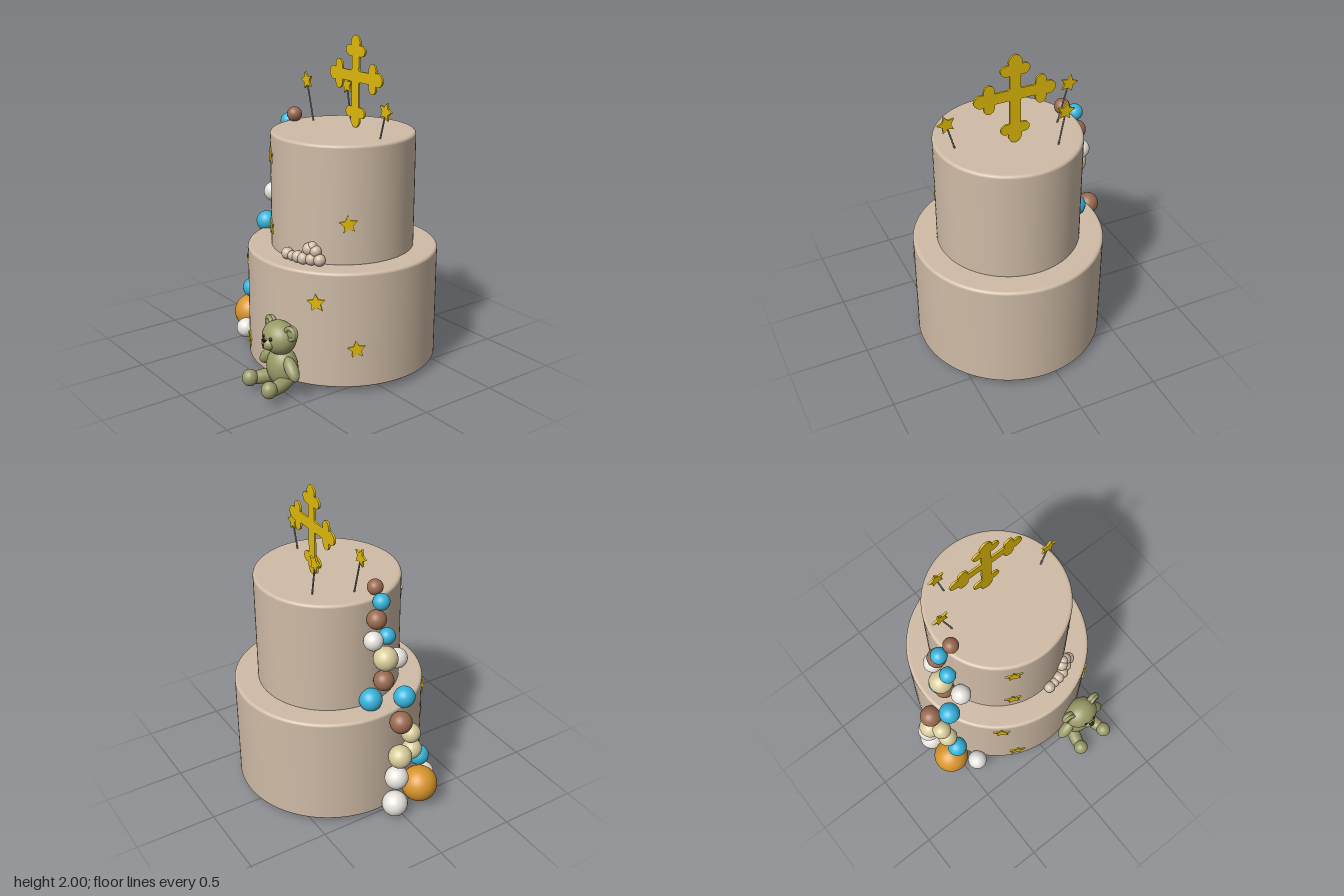
import * as THREE from 'three';

const V = (x, y, z) => new THREE.Vector3(x, y, z);
const mat = (color) => new THREE.MeshStandardMaterial({ color });
const M = {
  icing: mat(0xcfbba6), gold: mat(0xe0ba0c), stick: mat(0x888888), bear: mat(0x9a9b68), dark: mat(0x1c1a18),
  blue: mat(0x36b4dc), brown: mat(0x9a6a50), cream: mat(0xd8cc9c), white: mat(0xe6e3de), orange: mat(0xd8952c),
};
const CX = 0.07, CZ = -0.12;

function add(parent, name, geometry, material, x = 0, y = 0, z = 0) {
  const mesh = new THREE.Mesh(geometry, material);
  mesh.name = name;
  mesh.position.set(x, y, z);
  parent.add(mesh);
  return mesh;
}

// Ellipsoid with radii rx, ry, rz
function ball(parent, name, material, x, y, z, rx, ry = rx, rz = rx) {
  const mesh = add(parent, name, new THREE.SphereGeometry(1, 32, 20), material, x, y, z);
  mesh.scale.set(rx, ry, rz);
  return mesh;
}

// Ellipsoid limb stretched between two end points
function limb(parent, name, material, a, b, r) {
  const d = b.clone().sub(a), c = a.clone().add(b).multiplyScalar(0.5);
  const mesh = ball(parent, name, material, c.x, c.y, c.z, r, d.length() / 2, r);
  mesh.quaternion.setFromUnitVectors(V(0, 1, 0), d.normalize());
  return mesh;
}

// Cake tier: turned profile with softly rounded rims
function tier(parent, name, r, y0, y1) {
  const pts = [new THREE.Vector2(0, y0), new THREE.Vector2(r - 0.012, y0)];
  const arc = (cy, b, from) => {
    for (let i = 0; i <= 6; i++) {
      const a = from + (i / 6) * Math.PI / 2;
      pts.push(new THREE.Vector2(r - b + Math.cos(a) * b, cy + Math.sin(a) * b));
    }
  };
  arc(y0 + 0.01, 0.01, -Math.PI / 2);
  arc(y1 - 0.018, 0.018, 0);
  pts.push(new THREE.Vector2(r - 0.022, y1), new THREE.Vector2(0, y1));
  add(parent, name, new THREE.LatheGeometry(pts, 96), M.icing, CX, 0, CZ);
}

function starGeometry(R, depth) {
  const s = new THREE.Shape();
  for (let i = 0; i < 10; i++) {
    const a = Math.PI / 2 + i * Math.PI / 5, r = i % 2 ? R * 0.5 : R;
    s[i ? 'lineTo' : 'moveTo'](Math.cos(a) * r, Math.sin(a) * r);
  }
  s.closePath();
  return new THREE.ExtrudeGeometry(s, { depth, bevelEnabled: false }).translate(0, 0, -depth / 2);
}

// Cross outline: four budded arms, each drawn in its own rotated frame
function crossGeometry() {
  const s = new THREE.Shape(), w = 0.033;
  [0.245, 0.25, 0.31, 0.25].forEach((L, k) => {
    const c = Math.cos(k * Math.PI / 2), n = Math.sin(k * Math.PI / 2);
    const P = (v, u) => [v * c - u * n, v * n + u * c];
    const curve = (...p) => s.bezierCurveTo(...p.flatMap((q) => P(...q)));
    s[k ? 'lineTo' : 'moveTo'](...P(w, w + 0.012));
    s.lineTo(...P(w, L - 0.125));
    curve([0.1, L - 0.14], [0.115, L - 0.05], [0.038, L - 0.06]);
    curve([0.052, L - 0.035], [0.025, L], [0, L]);
    curve([-0.025, L], [-0.052, L - 0.035], [-0.038, L - 0.06]);
    curve([-0.115, L - 0.05], [-0.1, L - 0.14], [-w, L - 0.125]);
    s.lineTo(...P(-w, w + 0.012));
    s.quadraticCurveTo(...P(-w, w), ...P(-w - 0.012, w));
  });
  return new THREE.ExtrudeGeometry(s, { depth: 0.012, bevelEnabled: false, curveSegments: 10 }).translate(0, 0, -0.006);
}

function bear() {
  const g = new THREE.Group();
  g.name = 'teddyBear';
  const x = 0.29;
  ball(g, 'body', M.bear, x, 0.155, 0.49, 0.105, 0.122, 0.088);
  ball(g, 'head', M.bear, x - 0.005, 0.338, 0.505, 0.115, 0.1, 0.095);
  ball(g, 'muzzle', M.bear, x, 0.32, 0.583, 0.045, 0.038, 0.038);
  const nose = add(g, 'nose', new THREE.ConeGeometry(0.018, 0.022, 16), M.dark, x, 0.34, 0.612);
  nose.rotation.x = Math.PI;
  add(g, 'mouth', new THREE.BoxGeometry(0.005, 0.03, 0.008), M.dark, x, 0.315, 0.618);
  for (const s of [-1, 1]) {
    ball(g, 'eye', M.dark, x + s * 0.032, 0.358, 0.588, 0.012);
    ball(g, 'ear', M.bear, x + s * 0.105, 0.395, 0.49, 0.046, 0.046, 0.026);
    const inner = add(g, 'earRim', new THREE.TorusGeometry(0.033, 0.013, 10, 28), M.bear, x + s * 0.105, 0.395, 0.506);
    inner.rotation.y = s * 0.2;
    limb(g, 'arm', M.bear, V(x + s * 0.06, 0.235, 0.5), V(x + s * 0.18, 0.13, 0.515), 0.039);
    limb(g, 'leg', M.bear, V(x + s * 0.045, 0.085, 0.44), V(x + s * 0.115, 0.075, 0.68), 0.043);
    ball(g, 'foot', M.bear, x + s * 0.1, 0.086, 0.65, 0.047, 0.051, 0.048);
  }
  return g;
}

export function createModel() {
  const model = new THREE.Group();
  tier(model, 'lowerTier', 0.583, 0.035, 0.74);
  tier(model, 'upperTier', 0.437, 0.735, 1.445);
  add(model, 'cross', crossGeometry(), M.gold, CX, 1.755, -0.215);

  // Stars on sticks: star x, y, foot x, z
  for (const [x, y, fx, z] of [[-0.31, 1.69, -0.24, -0.13], [-0.18, 1.655, -0.138, -0.345], [0.45, 1.61, 0.4, -0.13]]) {
    const g = new THREE.Group();
    g.name = 'starPick';
    const a = V(fx, 1.43, z), b = V(x, y, z), d = b.clone().sub(a);
    const c = a.clone().add(b).multiplyScalar(0.5);
    const stick = add(g, 'stick', new THREE.CylinderGeometry(0.005, 0.005, d.length(), 10), M.stick, c.x, c.y, c.z);
    stick.quaternion.setFromUnitVectors(V(0, 1, 0), d.normalize());
    add(g, 'star', starGeometry(0.056, 0.012), M.gold, x, y, z).rotation.z = Math.atan2(fx - x, y - 1.43);
    model.add(g);
  }

  // Stars laid against the tier walls: x, y, wall radius, tilt
  const wallStars = [
    [-0.115, 1.305, 0.437, 0.1], [-0.115, 0.865, 0.437, 0.15], [0.435, 0.985, 0.437, 0.1],
    [-0.265, 0.65, 0.583, 0.1], [-0.175, 0.145, 0.583, -0.15], [0.425, 0.555, 0.583, 0.1], [0.578, 0.275, 0.583, 0.1],
  ];
  for (const [x, y, r, tilt] of wallStars) {
    const a = Math.asin((x - CX) / r);
    const star = add(model, 'wallStar', starGeometry(0.055, 0.014), M.gold, x, y, CZ + Math.cos(a) * r);
    star.rotation.set(0, a, tilt);
  }

  // Cascade of balls down the side: colour, x, y, z, radius
  const balls = [
    ['brown', -0.32, 1.485, -0.04, 0.047], ['blue', -0.4, 1.43, -0.05, 0.05], ['brown', -0.4, 1.325, -0.08, 0.058],
    ['white', -0.415, 1.2, -0.11, 0.058], ['blue', -0.39, 1.185, 0, 0.05], ['cream', -0.425, 1.06, -0.03, 0.074],
    ['white', -0.37, 0.995, 0.09, 0.062], ['brown', -0.41, 0.9, -0.03, 0.062], ['blue', -0.395, 0.785, -0.11, 0.07],
    ['blue', -0.465, 0.775, 0.083, 0.066], ['brown', -0.555, 0.675, 0, 0.068], ['cream', -0.54, 0.555, 0.085, 0.06],
    ['cream', -0.57, 0.435, -0.01, 0.072], ['cream', -0.52, 0.415, 0.11, 0.062], ['blue', -0.5, 0.325, 0.18, 0.063],
    ['white', -0.575, 0.29, -0.035, 0.073], ['orange', -0.545, 0.14, 0.16, 0.113],
    ['white', -0.42, 0.095, 0.285, 0.063], ['white', -0.565, 0.08, -0.035, 0.08],
  ];
  for (const [color, x, y, z, r] of balls) ball(model, color + 'Ball', M[color], x, y, z, r);

  // Little cloud of icing on the ledge
  const puffs = [
    [0.13, 0.773, 0.335, 0.036], [0.175, 0.768, 0.33, 0.03], [0.215, 0.772, 0.32, 0.036], [0.255, 0.77, 0.31, 0.036],
    [0.3, 0.772, 0.285, 0.036], [0.345, 0.773, 0.26, 0.036], [0.27, 0.825, 0.28, 0.038], [0.315, 0.82, 0.265, 0.034],
    [0.29, 0.845, 0.27, 0.028],
  ];
  for (const p of puffs) ball(model, 'icingPuff', M.icing, ...p);

  model.add(bear());
  return model;
}
